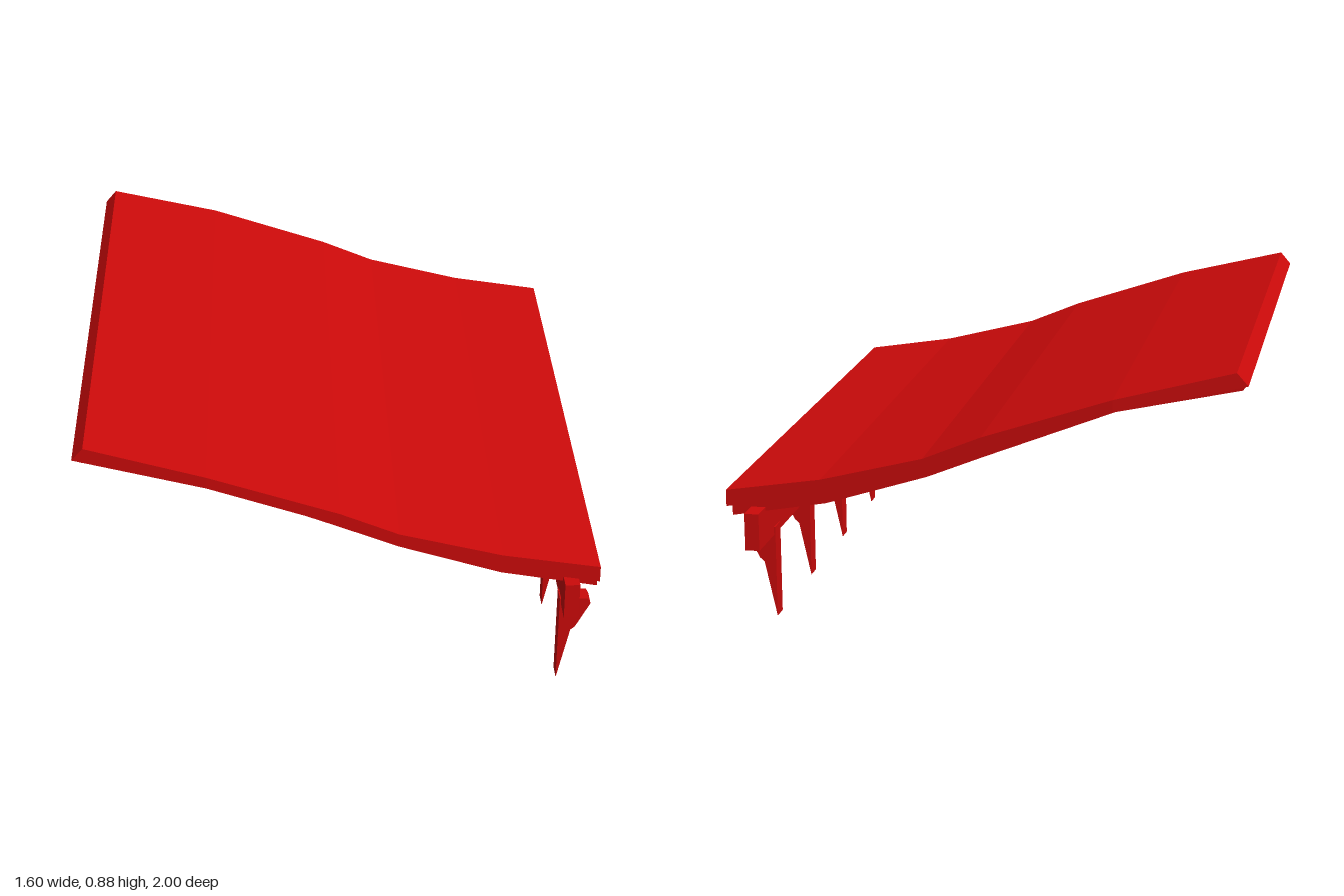
import * as THREE from 'three';

const red = new THREE.MeshStandardMaterial({ color: 0xcc0a0a, flatShading: true });

// Extrude an x-y outline along z, from z0 to z1
function extrudeZ(points, z0, z1) {
  const shape = new THREE.Shape(points.map(([x, y]) => new THREE.Vector2(x, y)));
  const geo = new THREE.ExtrudeGeometry(shape, { depth: z1 - z0, bevelEnabled: false });
  return geo.translate(0, 0, z0);
}

function addPart(group, name, geo) {
  const mesh = new THREE.Mesh(geo, red);
  mesh.name = name;
  group.add(mesh);
  return mesh;
}

export function createModel() {
  const group = new THREE.Group();
  group.name = 'awningRoof';

  // Sagging lines shared by the roof panel and the rafters, from back to eave
  const top = [[-0.765, 0.885], [-0.4, 0.793], [0, 0.66], [0.18, 0.585], [0.5, 0.504], [0.8, 0.457]];
  const middle = [[-0.8, 0.845], [-0.4, 0.756], [0, 0.62], [0.18, 0.543], [0.5, 0.455], [0.8, 0.405]];
  const bottom = [[-0.78, 0.822], [-0.4, 0.74], [0, 0.583], [0.18, 0.51], [0.5, 0.41], [0.8, 0.357]];
  const band = (upper, lower) => [...lower, ...[...upper].reverse()];

  // Roof panel, slightly narrowed towards its high end
  const panel = extrudeZ(band(top, middle), -0.985, 0.995);
  const pos = panel.attributes.position;
  for (let i = 0; i < pos.count; i++) {
    const taper = Math.max(0, -0.4 - pos.getX(i)) / 0.4;
    pos.setZ(i, pos.getZ(i) - Math.sign(pos.getZ(i)) * 0.024 * taper);
  }
  panel.computeVertexNormals();
  addPart(group, 'roofPanel', panel);

  // Rafters under the panel
  const rafterGeo = extrudeZ(band(middle, bottom), -0.025, 0.025);
  for (let i = 0; i < 17; i++) {
    addPart(group, 'rafter', rafterGeo).position.z = 0.917 - i * 0.1133;
  }

  // Eave beam, tilted a little along its length
  const beam = addPart(group, 'eaveBeam', new THREE.BoxGeometry(0.046, 0.118, 1.998));
  beam.position.set(0.717, 0.332, 0);
  beam.rotation.x = -0.004;

  // Tapered brackets carrying the beam
  const bracketOutline = [
    [0.69, 0], [0.728, 0.18], [0.742, 0.192], [0.787, 0.278], [0.778, 0.296], [0.69, 0.296],
  ];
  const bracketGeo = extrudeZ(bracketOutline, -0.029, 0.029);
  for (const z of [0.893, 0.476, 0.043, -0.386, -0.803]) {
    addPart(group, 'bracket', bracketGeo).position.z = z;
  }
  return group;
}
